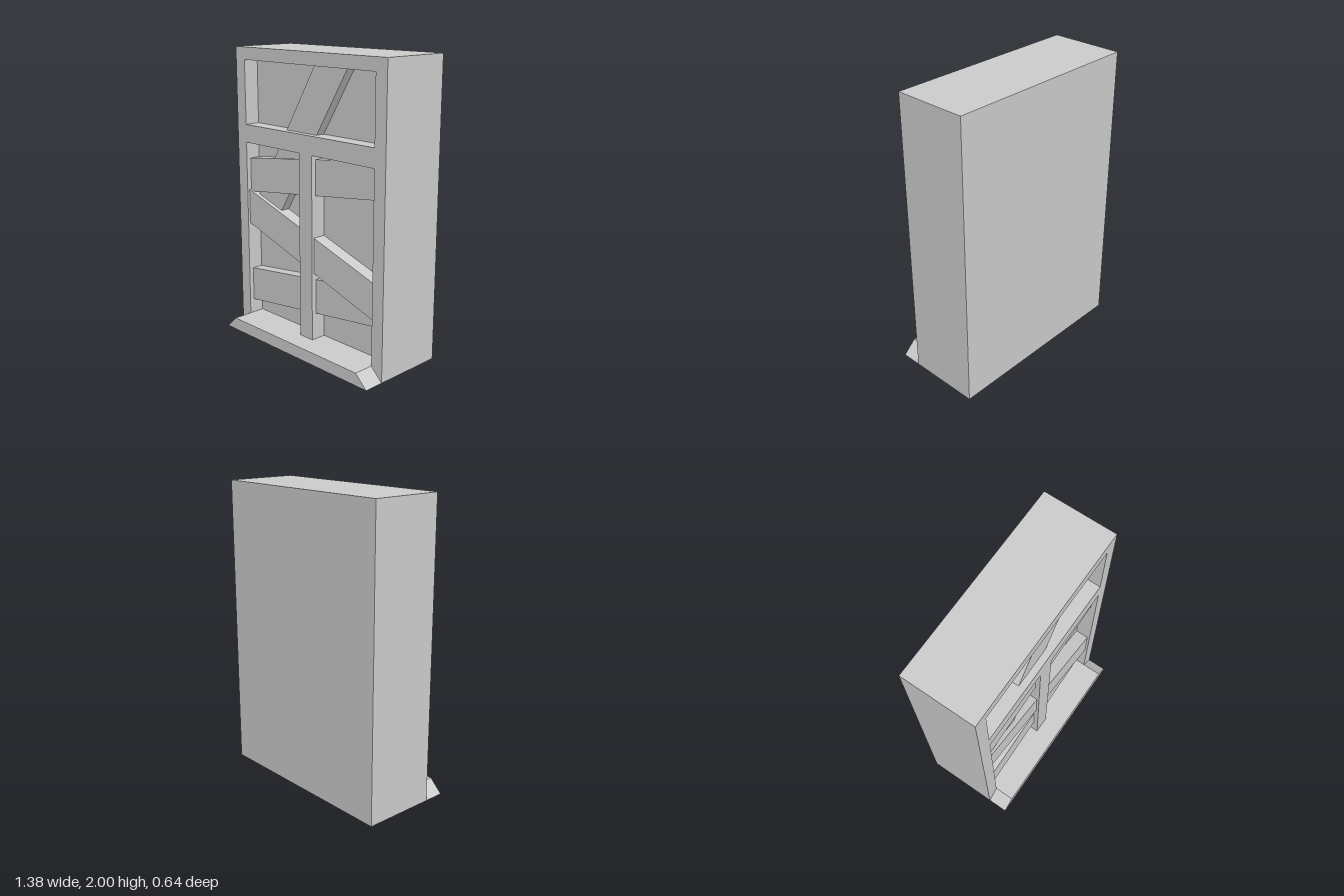
import * as THREE from 'three';

const material = new THREE.MeshStandardMaterial({ color: 0xcccccc, flatShading: true });

const polygon = (points, Type = THREE.Shape) =>
  new Type(points.map(([x, y]) => new THREE.Vector2(x, y)));

// Flat outline in x and y, extruded between two z positions
function slab(name, shape, zBack, zFront) {
  const geometry = new THREE.ExtrudeGeometry(shape, { depth: zFront - zBack, bevelEnabled: false });
  geometry.translate(0, 0, zBack);
  const mesh = new THREE.Mesh(geometry, material);
  mesh.name = name;
  return mesh;
}

const rect = (x0, x1, y0, y1) => [[x0, y0], [x1, y0], [x1, y1], [x0, y1]];

export function createModel() {
  const group = new THREE.Group();
  group.name = 'boardedWindow';
  const W = 0.69, IN = 0.6, PANE = 0.07, FRONT = 0.18, LOW = 0.085, HIGH = 1.915;

  // Solid block whose front is the window pane
  group.add(slab('backBlock', polygon(rect(-W, W, 0, 2)), -0.32, PANE));

  // Frame and flush crossbars with three openings
  const frame = polygon(rect(-W, W, 0, 2));
  const openings = [
    rect(-IN, IN, 1.475, HIGH),
    rect(-IN, -0.06, LOW, 1.35),
    rect(0.06, IN, LOW, 1.35),
  ];
  for (const opening of openings) frame.holes.push(polygon(opening, THREE.Path));
  group.add(slab('windowFrame', frame, PANE, FRONT));

  // Sill with slanted ends
  group.add(slab('sill', polygon([[-W, 0], [W, 0], [IN, LOW], [-IN, LOW]]), FRONT, 0.32));

  // Boards across the opening: bottom and top heights at the left and right ends, front z
  const boards = [
    ['upperBoard', 0.997, 1.15, 1.235, 1.39, 0.147],
    ['lowerBoard', 0.185, 0.337, 0.425, 0.577, 0.147],
    ['slantedBoard', 0.768, 0.38, 1.012, 0.625, 0.163],
  ];
  for (const [name, b0, b1, t0, t1, z] of boards) {
    group.add(slab(name, polygon([[-IN, b0], [IN, b1], [IN, t1], [-IN, t0]]), PANE - 0.01, z));
  }

  // Steep board behind the others
  group.add(slab('steepBoard',
    polygon([[-0.583, 0.9], [-0.3, 0.9], [0.33, HIGH], [0.04, HIGH]]), PANE - 0.01, 0.133));

  return group;
}
